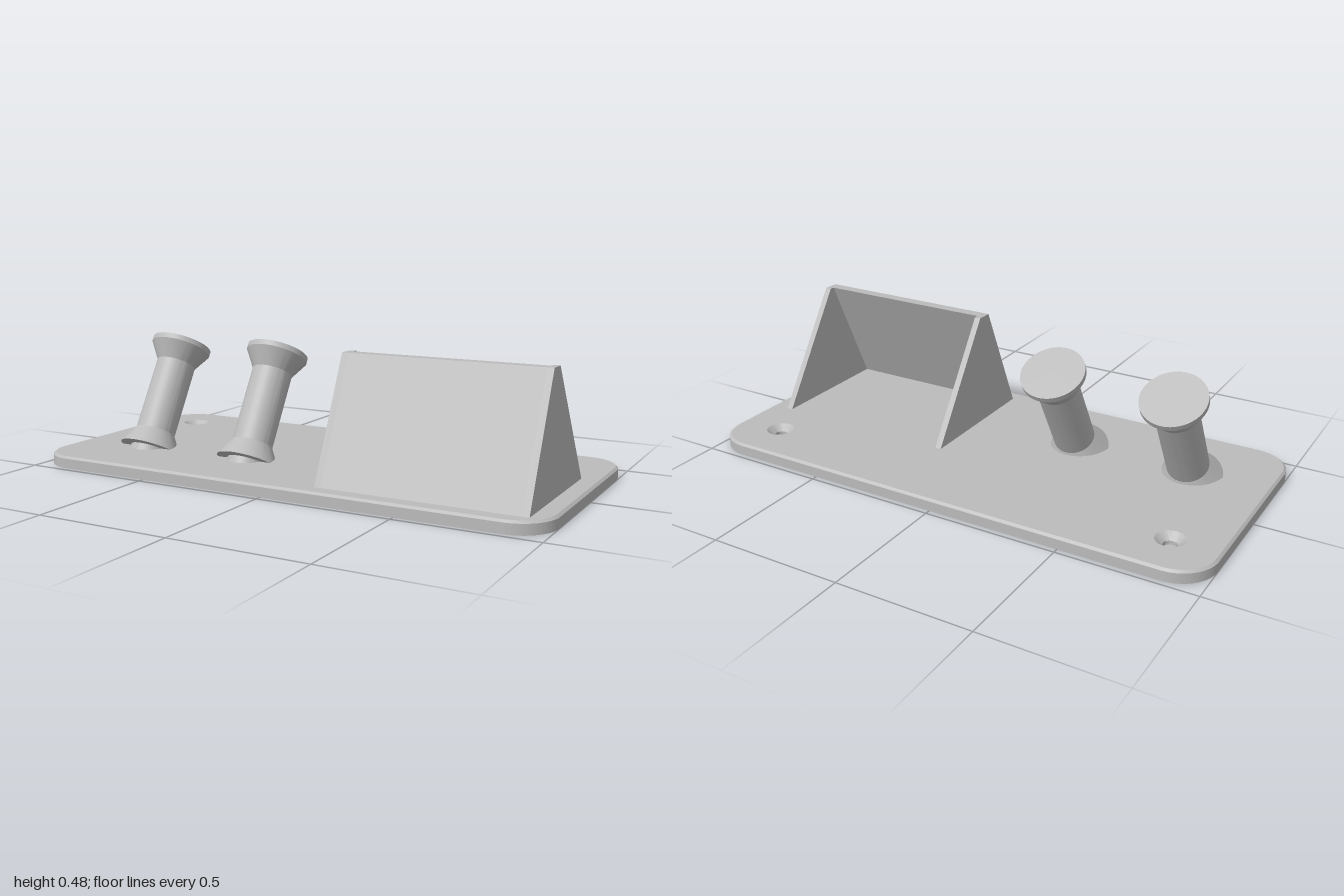
import * as THREE from 'three';
import { toCreasedNormals } from 'three/addons/utils/BufferGeometryUtils.js';

const grey = new THREE.MeshStandardMaterial({ color: 0xbbbbbb });
grey.name = 'plain grey';

const W = 1, D = 0.48, R = 0.14, TOP = 0.045, HOLE = 0.053;
const holeSpots = [[-0.82, -0.3], [0.82, -0.3]];

function part(name, geometry, x = 0, y = 0, z = 0) {
  const mesh = new THREE.Mesh(toCreasedNormals(geometry, 0.4), grey);
  mesh.name = name;
  mesh.position.set(x, y, z);
  return mesh;
}

// Rounded plate with a chamfered top edge and two round openings
function plateGeometry() {
  const s = new THREE.Shape();
  const cx = W - R, cz = D - R, q = Math.PI / 2;
  s.absarc(cx, cz, R, 0, q);
  s.absarc(-cx, cz, R, q, 2 * q);
  s.absarc(-cx, -cz, R, 2 * q, 3 * q);
  s.absarc(cx, -cz, R, 3 * q, 4 * q);
  for (const [x, z] of holeSpots) {
    const h = new THREE.Path();
    h.absarc(x, -z, HOLE, 0, Math.PI * 2, true);
    s.holes.push(h);
  }
  const g = new THREE.ExtrudeGeometry(s, { depth: TOP, steps: 2, bevelEnabled: false, curveSegments: 16 });
  g.rotateX(-Math.PI / 2);
  const p = g.attributes.position;
  for (let i = 0; i < p.count; i++) {
    const x = p.getX(i), y = p.getY(i), z = p.getZ(i);
    const ax = THREE.MathUtils.clamp(x, -cx, cx), az = THREE.MathUtils.clamp(z, -cz, cz);
    const rim = Math.hypot(x - ax, z - az) > 0.1;
    if (y > TOP - 0.001 && rim) {
      const k = 1 - 0.009 / R;
      p.setXYZ(i, ax + (x - ax) * k, y, az + (z - az) * k);
    } else if (y > 0.01 && y < 0.03) {
      p.setY(i, 0.037);
    }
  }
  return g;
}

const lathe = (points, n) => new THREE.LatheGeometry(points.map(([r, y]) => new THREE.Vector2(r, y)), n);

// Peg leaning back 30 degrees: core, flared foot, shaft, flared head
function pegGeometry() {
  const g = lathe([
    [0, 0], [0.077, 0], [0.077, 0.04], [0.118, 0.04], [0.077, 0.112],
    [0.077, 0.403], [0.118, 0.47], [0.118, 0.49], [0, 0.49],
  ], 48);
  g.rotateX(-Math.PI / 6);
  g.translate(0, -0.004, 0.19);
  // keep the foot inside the plate
  const p = g.attributes.position;
  for (let i = 0; i < p.count; i++) p.setY(i, Math.max(p.getY(i), 0.01));
  return g;
}

// Outline in (z, y) extruded along x from x0 to x1
function slab(outline, x0, x1) {
  const s = new THREE.Shape(outline.map(([z, y]) => new THREE.Vector2(-z, y)));
  const g = new THREE.ExtrudeGeometry(s, { depth: x1 - x0, bevelEnabled: false });
  g.rotateY(Math.PI / 2);
  g.translate(x0, 0, 0);
  return g;
}

export function createModel() {
  const model = new THREE.Group();
  model.name = 'pegHolder';
  model.add(part('basePlate', plateGeometry()));

  // Blind countersunk screw holes
  for (const [x, z] of holeSpots) {
    const hole = new THREE.Group();
    hole.name = 'screwHole';
    hole.add(part('countersink', lathe([[HOLE, TOP], [0.025, 0.022], [0.025, 0.008], [0, 0.008]], 32)));
    hole.add(part('holeFloor', new THREE.CylinderGeometry(HOLE, HOLE, 0.006, 32), 0, 0.003, 0));
    hole.position.set(x, 0, z);
    model.add(hole);
  }

  for (const x of [-0.705, -0.25]) model.add(part('peg', pegGeometry(), x));

  // Open-backed holder: sloping front panel between two side walls
  const bracket = new THREE.Group();
  bracket.name = 'holder';
  const y0 = 0.04, y1 = 0.478;
  const side = [[0.422, y0], [0.224, y1], [0.163, y1], [-0.134, y0]];
  const panel = [[0.422, y0], [0.224, y1], [0.182, y1], [0.38, y0]];
  bracket.add(part('rightWall', slab(side, 0.18, 0.204)));
  bracket.add(part('leftWall', slab(side, 0.906, 0.93)));
  bracket.add(part('frontPanel', slab(panel, 0.204, 0.906)));
  model.add(bracket);
  return model;
}
